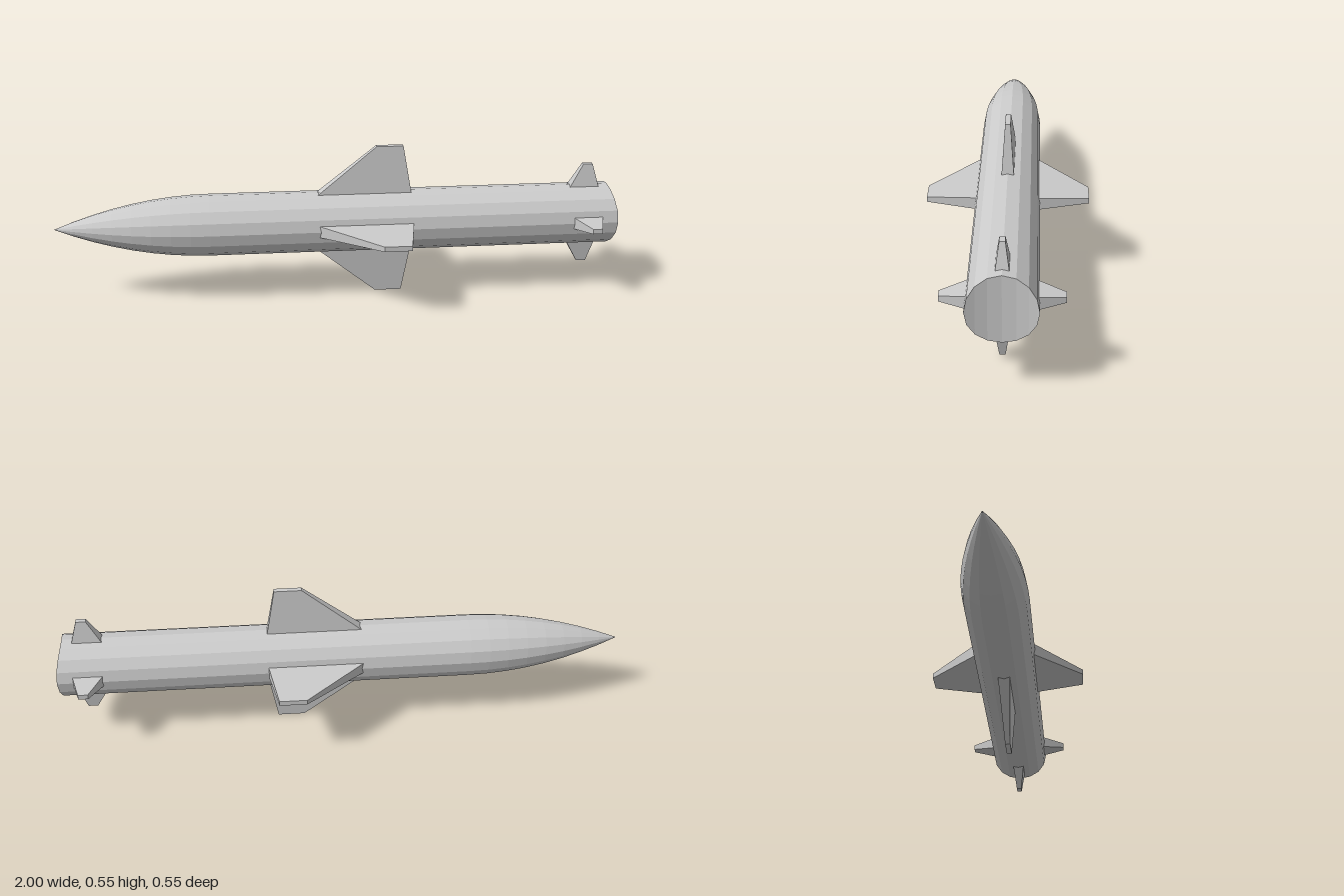
import * as THREE from 'three';

const R = 0.11;          // body radius
const AXIS_Y = 0.277;    // height of the body axis
const SIDES = 16;

const material = new THREE.MeshStandardMaterial({
  color: 0xcccccc, flatShading: true, side: THREE.DoubleSide,
});

// The tail end is cut along a shallow curve
const tailX = (z) => 0.98 + 0.02 * (z / R) ** 2;

// Apply a rule to every vertex of a geometry
function moveVertices(geometry, rule) {
  const p = geometry.attributes.position;
  const v = new THREE.Vector3();
  for (let i = 0; i < p.count; i++) {
    v.fromBufferAttribute(p, i);
    rule(v);
    p.setXYZ(i, v.x, v.y, v.z);
  }
  geometry.computeVertexNormals();
  return geometry;
}

// Curved nose and straight tube as one revolved profile along x
function bodyGeometry() {
  const profile = [];
  const rings = 8;
  for (let i = 0; i <= rings; i++) {
    const t = 1 - i / rings;
    profile.push(new THREE.Vector2(R * (1 - t * t), -0.45 - 0.55 * t));
  }
  profile.push(new THREE.Vector2(R, 1));
  const g = new THREE.LatheGeometry(profile, SIDES);
  g.rotateZ(-Math.PI / 2);
  return moveVertices(g, (v) => { if (v.x > 0.9) v.x = tailX(v.z); });
}

// End cap made of strips that follow the curved cut
function capGeometry() {
  return moveVertices(new THREE.PlaneGeometry(2, 2, SIDES / 2, 1), (v) => {
    const a = (v.x + 1) * Math.PI / 2;
    const z = R * Math.cos(a);
    v.set(tailX(z), Math.sign(v.y) * R * Math.sin(a), z);
  });
}

// Tapered slab pointing up: root and tip are [front x, back x, height, half thickness]
function finGeometry(root, tip) {
  return moveVertices(new THREE.BoxGeometry(2, 2, 2), (v) => {
    const [x0, x1, y, half] = v.y > 0 ? tip : root;
    v.set(v.x < 0 ? x0 : x1, y, v.z * half);
  });
}

export function createModel() {
  const model = new THREE.Group();
  model.name = 'missile';

  const add = (name, geometry) => {
    const mesh = new THREE.Mesh(geometry, material);
    mesh.name = name;
    mesh.position.y = AXIS_Y;
    model.add(mesh);
    return mesh;
  };

  add('body', bodyGeometry());
  add('tailCap', capGeometry());

  // Four wings and four tail fins around the axis
  const wing = finGeometry([-0.07, 0.265, 0.104, 0.021], [0.14, 0.235, 0.277, 0.009]);
  const tailFin = finGeometry([0.84, 0.945, 0.104, 0.021], [0.887, 0.921, 0.188, 0.009]);
  for (let i = 0; i < 4; i++) {
    add(`wing${i + 1}`, wing).rotation.x = i * Math.PI / 2;
    add(`tailFin${i + 1}`, tailFin).rotation.x = i * Math.PI / 2;
  }
  return model;
}
